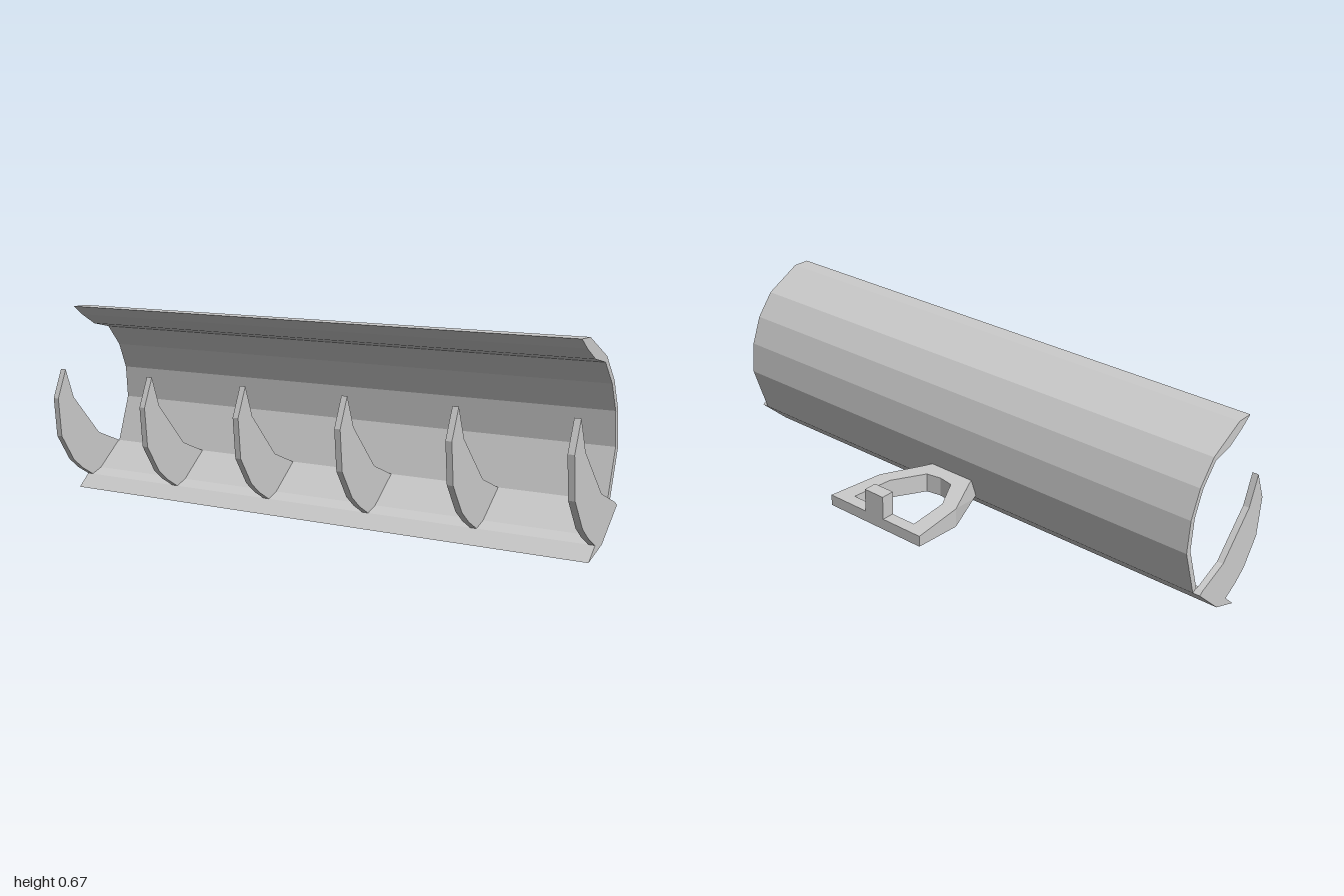
import * as THREE from 'three';

const material = new THREE.MeshStandardMaterial({
  color: 0xcccccc, flatShading: true, side: THREE.DoubleSide,
});

// Extrude a (z, y) profile along x, centred on the given x
function slab(name, profile, width, x = 0) {
  const shape = new THREE.Shape(profile.map(([z, y]) => new THREE.Vector2(z, y)));
  const geo = new THREE.ExtrudeGeometry(shape, { depth: width, bevelEnabled: false });
  geo.translate(0, 0, -width / 2);
  geo.rotateY(-Math.PI / 2);
  const mesh = new THREE.Mesh(geo, material);
  mesh.name = name;
  mesh.position.x = x;
  return mesh;
}

// Mirror half an outline of (x, z) points into a closed loop
function mirrored(half) {
  const other = half.filter(([x]) => x !== 0).reverse().map(([x, z]) => [-x, z]);
  return [...half, ...other].map(([x, z]) => new THREE.Vector2(x, -z));
}

// Hitch ring: tapered underside, front face leaning with the curved plate
function hitchRing() {
  const shape = new THREE.Shape(mirrored([[0.09, 0.012], [0.1, -0.012], [0.175, -0.165], [0.2, -0.373]]));
  shape.holes.push(new THREE.Path(mirrored([[0, -0.045], [0.055, -0.055], [0.12, -0.172], [0.135, -0.328]])));
  const geo = new THREE.ExtrudeGeometry(shape, { depth: 1, bevelEnabled: false });
  geo.rotateX(-Math.PI / 2);
  const p = geo.attributes.position;
  for (let i = 0; i < p.count; i++) {
    const z = p.getZ(i), top = p.getY(i) > 0.5;
    const rise = 0.03 * Math.max(0, (-0.165 - z) / 0.208);
    p.setY(i, top ? 0.217 : 0.148 + rise);
    if (!top && z > -0.02) p.setZ(i, z + 0.026);
  }
  geo.computeVertexNormals();
  const mesh = new THREE.Mesh(geo, material);
  mesh.name = 'hitchRing';
  return mesh;
}

export function createModel() {
  const model = new THREE.Group();
  model.name = 'plowBlade';

  // Curved plate with a thickened, forward-leaning top lip
  model.add(slab('curvedPlate', [
    [0.04, 0.135], [-0.019, 0.307], [-0.01, 0.42], [0.027, 0.517], [0.09, 0.597],
    [0.222, 0.667], [0.283, 0.667], [0.242, 0.635], [0.178, 0.597], [0.102, 0.58],
    [0.044, 0.508], [0.01, 0.42], [0.002, 0.307], [0.057, 0.147],
  ], 1.95));

  // Wider cutting edge along the bottom
  model.add(slab('cuttingEdge', [
    [0.04, 0.135], [0.057, 0.147], [0.16, 0.06], [0.205, 0.043], [0.252, 0], [0.152, 0.035],
  ], 2));

  // Six crescent teeth, the outer two closing the ends
  const tooth = [
    [0.057, 0.147], [0.166, 0.193], [0.295, 0.34], [0.332, 0.445], [0.374, 0.345],
    [0.362, 0.207], [0.303, 0.113], [0.258, 0.075], [0.205, 0.043], [0.16, 0.06],
  ];
  for (let i = 0; i < 6; i++) {
    model.add(slab('tooth' + (i + 1), tooth, 0.022, -0.989 + i * 0.3956));
  }

  // Hitch with its upright post
  const hitch = new THREE.Group();
  hitch.name = 'hitch';
  hitch.add(hitchRing());
  hitch.add(slab('hitchPost', [
    [-0.325, 0.165], [-0.325, 0.3], [-0.373, 0.3], [-0.373, 0.178],
  ], 0.08));
  model.add(hitch);
  return model;
}
